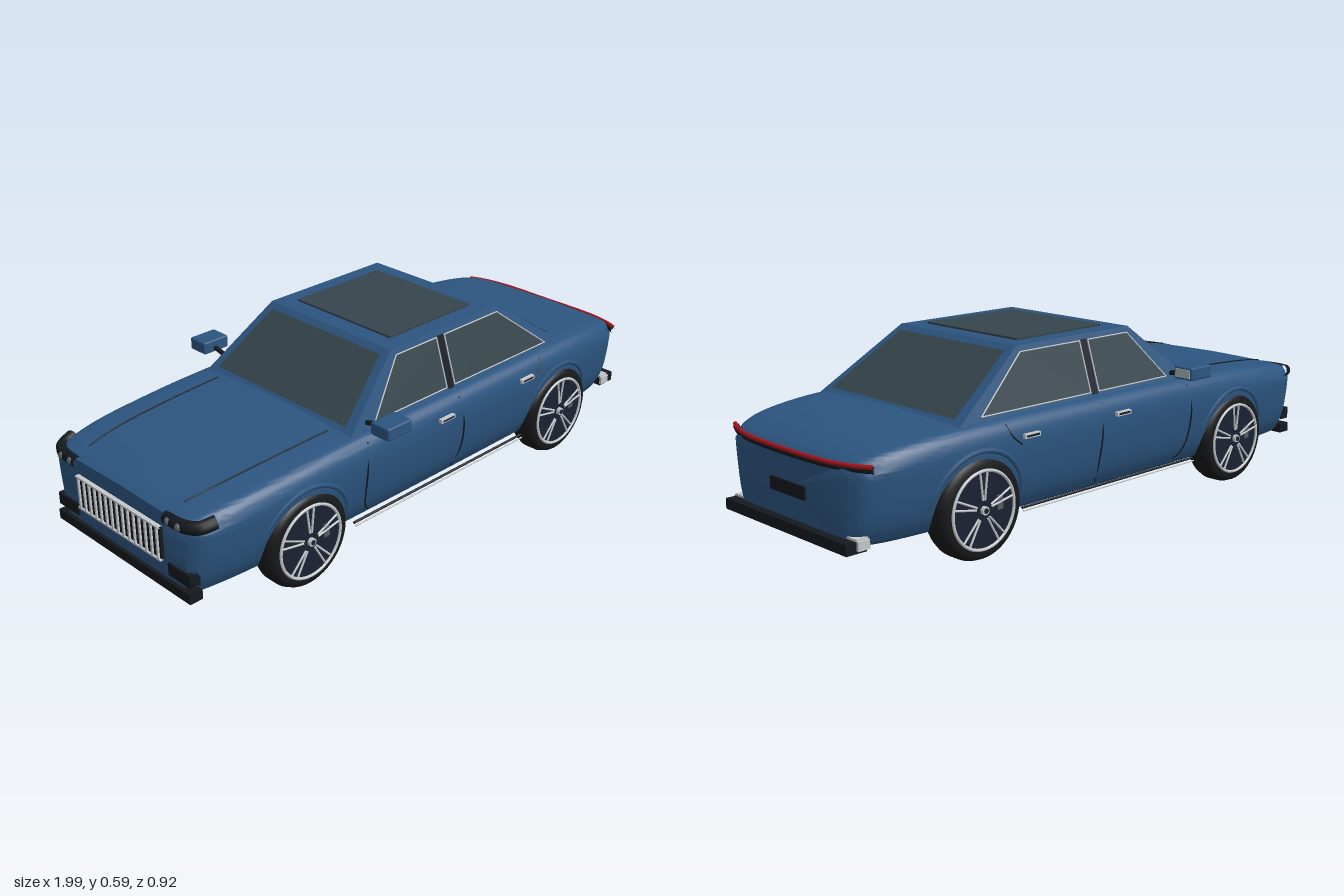
import * as THREE from 'three';
import { toCreasedNormals } from 'three/addons/utils/BufferGeometryUtils.js';
import { RoundedBoxGeometry } from 'three/addons/geometries/RoundedBoxGeometry.js';

const mat = (color, side = THREE.FrontSide) => new THREE.MeshStandardMaterial({ color, side });
const paint = mat(0x2c5580), black = mat(0x15191e), glass = mat(0x35454c, THREE.DoubleSide);
const chrome = mat(0xc4c8cb), red = mat(0xa8141c), disc = mat(0x1a2130), rubber = mat(0x17181a);
const V = (x, y, z) => new THREE.Vector3(x, y, z);

// Body stations along x: x, half width, top height
const stations = new THREE.CatmullRomCurve3([
  [-0.975, 0.31, 0.345], [-0.95, 0.337, 0.355], [-0.85, 0.36, 0.373], [-0.6, 0.374, 0.392],
  [-0.3, 0.378, 0.402], [0.2, 0.378, 0.404], [0.55, 0.374, 0.402], [0.75, 0.362, 0.392],
  [0.88, 0.342, 0.374], [0.945, 0.312, 0.354], [0.97, 0.275, 0.338],
].map((p) => V(...p)), false, 'centripetal').getPoints(70);

// Half cross-section from bottom centre round the side to top centre, as (z, y)
function section({ y: w, z: t }) {
  return new THREE.SplineCurve([
    [0, 0.1], [0.45, 0.1], [0.8, 0.102], [0.89, 0.13], [0.95, 0.18], [0.985, 0.25], [1, 0.31],
    [0.99, t - 0.045], [0.945, t - 0.016], [0.85, t - 0.004], [0.5, t], [0, t + 0.003],
  ].map(([f, y]) => new THREE.Vector2(f * w, y))).getPoints(44);
}

function stationAt(x) {
  const i = Math.max(1, stations.findIndex((s) => s.x >= x));
  const a = stations[i - 1], b = stations[i];
  return a.clone().lerp(b, (x - a.x) / (b.x - a.x));
}

// Points lying on the flank (from x, y) and on the top (from x, z)
function onSide(x, y, off = 0.001) {
  const s = section(stationAt(x));
  const i = s.findIndex((p, k) => k > 12 && p.y >= y);
  return V(x, y, THREE.MathUtils.mapLinear(y, s[i - 1].y, s[i].y, s[i - 1].x, s[i].x) + off);
}
function onTop(x, z) {
  const s = section(stationAt(x));
  const i = s.findIndex((p, k) => k > 28 && p.x <= z);
  return V(x, s[i].y + 0.001, z);
}

function bodyGeometry() {
  const pos = [], idx = [];
  const rings = stations.map((s) => {
    const half = section(s);
    return [...half, ...half.slice(1, -1).reverse().map((p) => new THREE.Vector2(-p.x, p.y))];
  });
  const n = rings[0].length, last = rings.length - 1;
  rings.forEach((r, i) => r.forEach((p) => pos.push(stations[i].x, p.y, p.x)));
  pos.push(-0.98, 0.23, 0, 0.976, 0.23, 0);
  const front = n * rings.length;
  for (let j = 0; j < n; j++) {
    const k = (j + 1) % n;
    for (let i = 0; i < last; i++) {
      const a = i * n + j, b = a + n, c = i * n + k, d = c + n;
      idx.push(a, b, c, b, d, c);
    }
    idx.push(front, j, k, front + 1, last * n + k, last * n + j);
  }
  const g = new THREE.BufferGeometry();
  g.setAttribute('position', new THREE.Float32BufferAttribute(pos, 3));
  g.setIndex(idx);
  return toCreasedNormals(g, 0.7);
}

// Flat-sided shell or panel from loops of corners
function polygons(faces) {
  const pos = [];
  for (const f of faces) for (let i = 1; i < f.length - 1; i++)
    for (const p of [f[0], f[i], f[i + 1]]) pos.push(p.x, p.y, p.z);
  const g = new THREE.BufferGeometry();
  g.setAttribute('position', new THREE.Float32BufferAttribute(pos, 3));
  g.computeVertexNormals();
  return g;
}

export function createModel() {
  const car = new THREE.Group();
  car.name = 'car';
  const add = (name, geo, m, parent = car) => {
    const mesh = new THREE.Mesh(geo, m);
    mesh.name = name;
    parent.add(mesh);
    return mesh;
  };
  const box = (name, size, at, m, parent = car) => {
    const b = add(name, new THREE.BoxGeometry(...size), m, parent);
    b.position.set(...at);
    return b;
  };
  const tube = (name, pts, r, m, parent = car, sides = 6) =>
    add(name, new THREE.TubeGeometry(new THREE.CatmullRomCurve3(pts, false, 'centripetal'), pts.length * 8, r, sides), m, parent);
  const rod = (name, a, b, r, m, parent = car) => {
    const c = add(name, new THREE.CylinderGeometry(r, r, a.distanceTo(b), 8), m, parent);
    c.position.copy(a).lerp(b, 0.5);
    c.quaternion.setFromUnitVectors(V(0, 1, 0), b.clone().sub(a).normalize());
    return c;
  };

  add('body', bodyGeometry(), paint);

  // Cabin
  const zAt = (y, off = 0) => 0.33 - (y - 0.4) * 0.324 + off;
  const ring = (x0, x1, y) => [V(x0, y, zAt(y)), V(x1, y, zAt(y)), V(x1, y, -zAt(y)), V(x0, y, -zAt(y))];
  const lo = ring(-0.393, 0.636, 0.385), hi = ring(-0.15, 0.34, 0.586);
  add('cabin', polygons([hi, ...lo.map((p, i) => [p, lo[(i + 1) % 4], hi[(i + 1) % 4], hi[i]])]), paint);
  const screen = (name, xa, ya, za, xb, yb, zb) => add(name,
    polygons([[V(xa, ya, za), V(xa, ya, -za), V(xb, yb, -zb), V(xb, yb, zb)]]), glass);
  screen('windscreen', -0.364, 0.412, 0.295, -0.172, 0.572, 0.245);
  screen('rearWindow', 0.606, 0.412, 0.295, 0.365, 0.572, 0.245);
  box('sunroof', [0.37, 0.006, 0.42], [0.095, 0.589, 0], glass);

  // Wheels: tyre, rim and five split spokes
  const tyre = new THREE.LatheGeometry([[0.1, -0.045], [0.135, -0.045], [0.148, -0.038], [0.155, -0.02],
    [0.155, 0.02], [0.148, 0.038], [0.135, 0.046], [0.112, 0.046]].map((p) => new THREE.Vector2(...p)), 48).rotateX(Math.PI / 2);
  const hubDisc = new THREE.CylinderGeometry(0.118, 0.118, 0.09, 40).rotateX(Math.PI / 2);
  for (const x of [-0.59, 0.575]) for (const s of [1, -1]) {
    const wheel = new THREE.Group();
    wheel.name = 'wheel';
    wheel.position.set(x, 0.155, s * 0.335);
    if (s < 0) wheel.rotation.y = Math.PI;
    car.add(wheel);
    add('tyre', tyre, rubber, wheel);
    add('wheelDisc', hubDisc, disc, wheel);
    add('rim', new THREE.TorusGeometry(0.117, 0.005, 8, 48), chrome, wheel).position.z = 0.047;
    add('hub', new THREE.CylinderGeometry(0.013, 0.013, 0.02, 16).rotateX(Math.PI / 2), chrome, wheel).position.z = 0.046;
    add('hubCap', new THREE.CylinderGeometry(0.008, 0.008, 0.024, 16).rotateX(Math.PI / 2), disc, wheel).position.z = 0.046;
    for (let i = 0; i < 5; i++) {
      const a = Math.PI / 2 + i * Math.PI * 0.4;
      for (const d of [-0.12, 0.12]) rod('spoke', V(Math.cos(a + d) * 0.03, Math.sin(a + d) * 0.03, 0.047),
        V(Math.cos(a + d) * 0.115, Math.sin(a + d) * 0.115, 0.047), 0.0035, chrome, wheel);
    }
    const brake = box('brakeCaliper', [0.022, 0.045, 0.006], [0.062, 0.012, 0.045], mat(0x555b62), wheel);
    brake.rotation.z = 0.1;
  }

  // Everything that is mirrored across the car
  for (const s of [1, -1]) {
    const side = new THREE.Group();
    side.name = s > 0 ? 'leftSide' : 'rightSide';
    side.scale.z = s;
    car.add(side);

    // Side windows with bright frames and the dark pillar between
    const at = ([x, y]) => V(x, y, zAt(y, 0.004));
    for (const w of [[[-0.275, 0.412], [0.045, 0.412], [0.045, 0.568], [-0.135, 0.568]],
      [[0.082, 0.412], [0.535, 0.412], [0.335, 0.568], [0.082, 0.568]]]) {
      const c = w.map(at);
      add('sideWindow', polygons([c]), glass, side);
      c.forEach((p, i) => rod('windowFrame', p, c[(i + 1) % 4], 0.0022, chrome, side));
    }
    add('pillar', polygons([[[0.05, 0.405], [0.077, 0.405], [0.077, 0.572], [0.05, 0.572]].map(at)]), black, side);

    // Wheel arch lips
    for (const x of [-0.59, 0.575]) {
      const pts = [];
      for (let i = 0; i <= 12; i++) {
        const a = 0.1 + (i / 12) * (Math.PI - 0.2);
        pts.push(onSide(x + 0.172 * Math.cos(a), 0.155 + 0.172 * Math.sin(a), -0.004));
      }
      tube('wheelArch', pts, 0.01, paint, side);
    }

    // Door seams, handles and sill
    const seam = (pts) => tube('seam', pts.map((p) => onSide(...p)), 0.0025, black, side);
    seam([[-0.34, 0.38], [-0.352, 0.3], [-0.35, 0.2], [-0.335, 0.15], [-0.31, 0.125]]);
    seam([[0.066, 0.385], [0.076, 0.3], [0.078, 0.2], [0.066, 0.125]]);
    seam([[0.47, 0.385], [0.455, 0.35], [0.42, 0.32]]);
    for (const x of [-0.01, 0.385]) {
      const h = onSide(x, 0.343);
      box('doorHandle', [0.062, 0.013, 0.014], [x, 0.343, h.z + 0.004], chrome, side);
      box('handleRecess', [0.05, 0.006, 0.015], [x, 0.343, h.z + 0.0045], black, side);
    }
    rod('sill', V(-0.39, 0.118, 0.355), V(0.4, 0.118, 0.355), 0.004, black, side);
    rod('sillTrim', V(-0.39, 0.11, 0.362), V(0.4, 0.11, 0.362), 0.0025, chrome, side);

    // Bonnet seam
    tube('bonnetSeam', [[-0.92, 0.225], [-0.8, 0.24], [-0.6, 0.25], [-0.4, 0.255]].map((p) => onTop(...p)), 0.0025, black, side);

    // Door mirror
    add('mirror', new RoundedBoxGeometry(0.1, 0.042, 0.074, 2, 0.006), paint, side).position.set(-0.3, 0.438, 0.421);
    box('mirrorGlass', [0.004, 0.028, 0.058], [-0.249, 0.438, 0.421], mat(0xa9b8bb), side);
    rod('mirrorArm', V(-0.305, 0.418, 0.325), V(-0.305, 0.432, 0.39), 0.008, black, side);

    // Headlamp wrapping round the corner
    tube('headlamp', [V(-0.968, 0.33, 0.21), V(-0.965, 0.332, 0.29), V(-0.945, 0.335, 0.327), V(-0.9, 0.343, 0.344)], 0.02, black, side, 10);
    for (const z of [0.235, 0.28]) add('headlampLens', new THREE.SphereGeometry(0.013, 12, 8), mat(0x59636b), side).position.set(-0.979, 0.332, z);
    box('airIntake', [0.035, 0.04, 0.1], [-0.965, 0.17, 0.27], black, side);

    // Rear bumper trim
    box('bumperTrim', [0.04, 0.028, 0.008], [0.945, 0.121, 0.304], chrome, side);
    box('bumperTrimTop', [0.04, 0.007, 0.085], [0.945, 0.136, 0.258], chrome, side);
  }

  // Front: grille and bumper
  box('grille', [0.016, 0.11, 0.4], [-0.979, 0.245, 0], black);
  for (let i = 0; i <= 14; i++) box('grilleBar', [0.012, 0.1, 0.007], [-0.987, 0.245, -0.189 + i * 0.027], chrome);
  for (const y of [0.192, 0.298]) box('grilleFrame', [0.014, 0.006, 0.4], [-0.986, y, 0], chrome);
  box('frontBumper', [0.045, 0.032, 0.64], [-0.965, 0.116, 0], black);

  // Rear: light bar, plate and bumper
  const bar = (y, dx) => [-0.34, -0.29, -0.2, 0, 0.2, 0.29, 0.34].map((z) =>
    V(0.978 + dx - Math.pow(Math.abs(z) / 0.34, 4) * 0.048, y + 0.006 * (z / 0.34) ** 2, z));
  tube('tailLight', bar(0.337, 0), 0.007, red, car, 8);
  tube('tailLightSurround', bar(0.328, -0.004), 0.01, black, car, 8);
  box('plate', [0.008, 0.04, 0.17], [0.977, 0.225, 0], black);
  box('rearBumper', [0.07, 0.033, 0.6], [0.965, 0.116, 0], black);
  return car;
}
